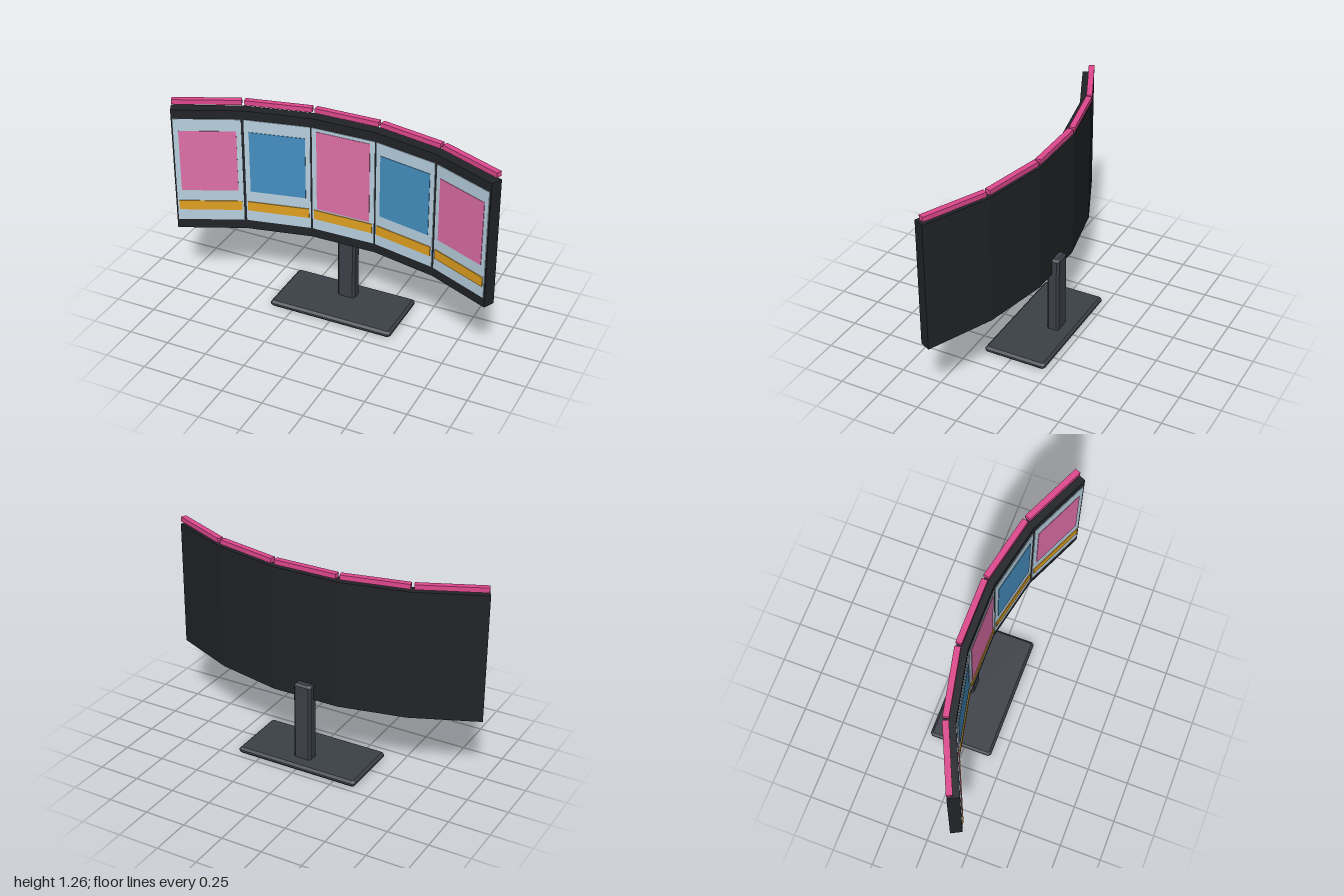
import * as THREE from 'three';

const mat = (color) => new THREE.MeshStandardMaterial({ color });
const M = {
  casing: mat(0x212327),
  stand: mat(0x3c4148),
  screen: mat(0xb8d0e0),
  pink: mat(0xe070a8),
  blue: mat(0x4590c2),
  bar: mat(0xe0a020),
  strip: mat(0xe0488f),
};

function add(parent, name, geometry, material) {
  const mesh = new THREE.Mesh(geometry, material);
  mesh.name = name;
  parent.add(mesh);
  return mesh;
}

// Box between given limits, within its parent
function box(parent, name, material, w, [y0, y1], [z0, z1]) {
  const mesh = add(parent, name, new THREE.BoxGeometry(w, y1 - y0, z1 - z0), material);
  mesh.position.set(0, (y0 + y1) / 2, (z0 + z1) / 2);
}

// Extrude a plan given as [x, z] points upwards
function plan(points, y0, y1, bevel = 0) {
  const shape = new THREE.Shape(points.map(([x, z]) => new THREE.Vector2(x, -z)));
  const geo = new THREE.ExtrudeGeometry(shape, {
    depth: y1 - y0 - 2 * bevel,
    bevelEnabled: bevel > 0,
    bevelSize: bevel,
    bevelThickness: bevel,
    bevelOffset: -bevel,
    bevelSegments: 1,
  });
  return geo.rotateX(-Math.PI / 2).translate(0, y0 + bevel, 0);
}

// Box with every edge chamfered by c
function chamferBox(x, z0, z1, y0, y1, c) {
  return plan([
    [-x + c, z1], [x - c, z1], [x, z1 - c], [x, z0 + c],
    [x - c, z0], [-x + c, z0], [-x, z0 + c], [-x, z1 - c],
  ], y0, y1, c);
}

export function createModel() {
  const model = new THREE.Group();
  model.name = 'curvedDisplay';

  // Stand
  add(model, 'base', chamferBox(0.39, -0.22, 0.17, 0, 0.04, 0.014), M.stand);
  add(model, 'post', chamferBox(0.056, -0.14, -0.065, 0.02, 0.53, 0.013), M.stand);

  // Faceted casing: front and back outlines of the right half, mirrored
  const front = [[0.2, -0.03], [0.595, 0.054], [0.968, 0.22]];
  const back = [[0.21, -0.098], [0.61, -0.012], [1.0, 0.157]];
  const mirror = (pts) => pts.map(([x, z]) => [-x, z]);
  const outline = [
    ...mirror(front).reverse(), ...front,
    ...[...back].reverse(), ...mirror(back),
  ];
  add(model, 'casing', plan(outline, 0.43, 1.21), M.casing);

  // Five screens, each with a picture, a lower bar and a strip floating above
  for (let i = -2; i <= 2; i++) {
    const k = Math.abs(i);
    const side = Math.sign(i);
    const a = k ? front[k - 1] : [-0.2, -0.03];
    const b = front[k];
    const panel = new THREE.Group();
    panel.name = `panel${i + 3}`;
    panel.position.set(side * (a[0] + b[0]) / 2, 0, (a[1] + b[1]) / 2);
    panel.rotation.y = -side * Math.atan2(b[1] - a[1], b[0] - a[0]);
    model.add(panel);

    box(panel, 'screen', M.screen, 0.39, [0.49, 1.155], [-0.01, 0.004]);
    box(panel, 'picture', k === 1 ? M.blue : M.pink, 0.332,
      k ? [0.69, 1.08] : [0.63, 1.135], [0, 0.007]);
    box(panel, 'lowerBar', M.bar, 0.37, [0.56, 0.62], [0, 0.009]);
    box(panel, 'topStrip', M.strip, 0.392 + 0.005 * k, [1.228, 1.257], [-0.072, -0.037]);
  }
  return model;
}
